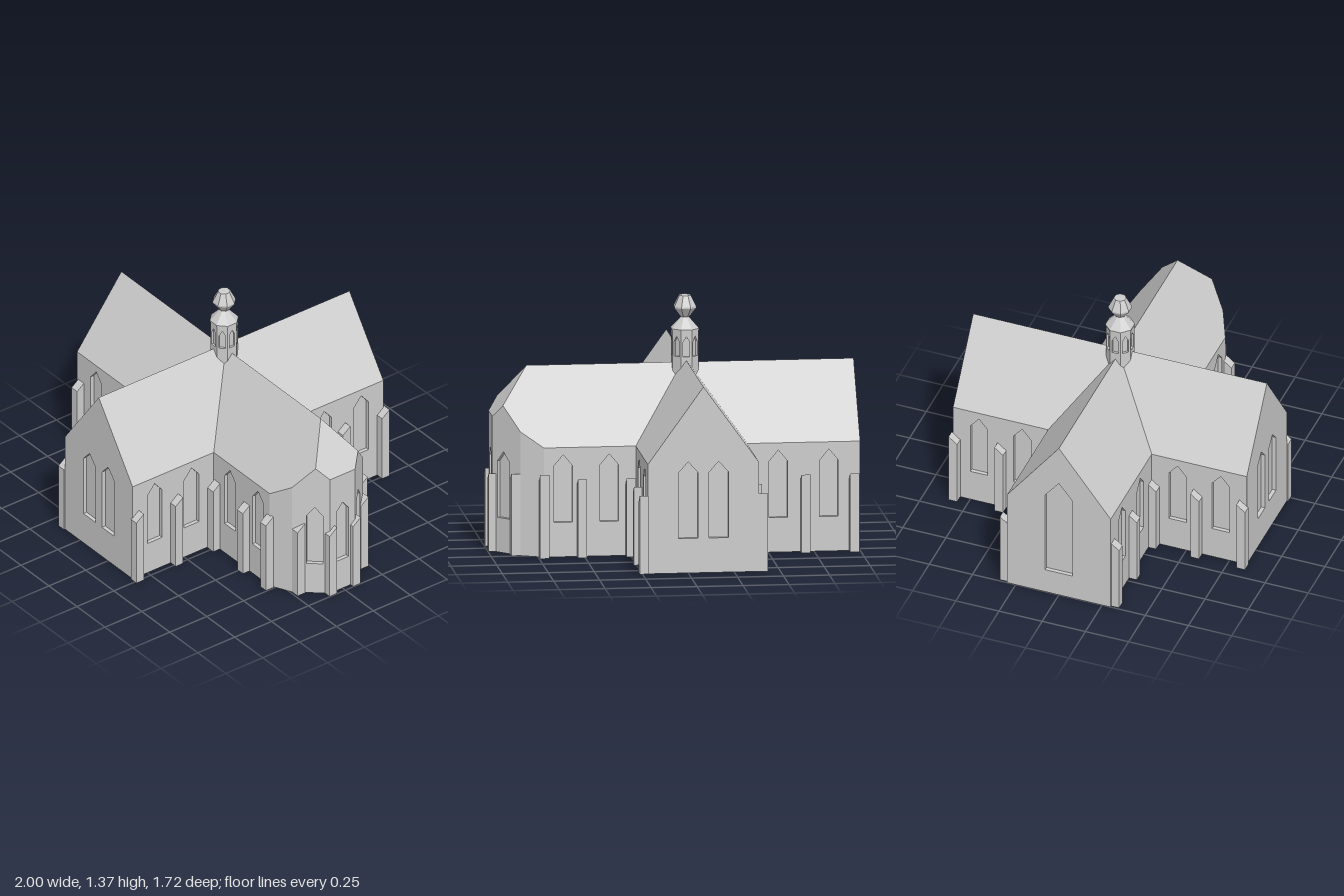
import * as THREE from 'three';

const stone = new THREE.MeshStandardMaterial({ color: 0xcccccc });
stone.name = 'paleStone';

const EAVE = 0.6, RIDGE = 1.0, HALF = 0.3, SLOPE = (RIDGE - EAVE) / HALF;
const WEST = -1, TL = -0.385, TR = 0.22, TMID = (TL + TR) / 2, TZ = 0.85, TRIDGE = 1.02;

function add(parent, name, geometry) {
  const mesh = new THREE.Mesh(geometry, stone);
  mesh.name = name;
  parent.add(mesh);
  return mesh;
}

// Pointed window outline centred on u
function lancet(Type, [u, w, sill, shoulder, peak]) {
  return new Type([
    [u - w / 2, sill], [u + w / 2, sill], [u + w / 2, shoulder], [u, peak], [u - w / 2, shoulder],
  ].map(p => new THREE.Vector2(...p)));
}

// Upright wall from a to b (x, z), left to right seen from outside, with recessed windows
function wall(parent, name, a, b, tops, windows = [], base = 0, depth = 0.022) {
  const dx = b[0] - a[0], dz = b[1] - a[1], len = Math.hypot(dx, dz);
  const group = new THREE.Group();
  group.name = name;
  group.position.set(a[0], 0, a[1]);
  group.rotation.y = Math.atan2(-dz, dx);
  const outline = [[0, base], [len, base], ...[...tops].reverse().map(([t, y]) => [t * len, y])];
  const shape = new THREE.Shape(outline.map(p => new THREE.Vector2(...p)));
  for (const w of windows) {
    const win = [w[0] * len, ...w.slice(1)];
    shape.holes.push(lancet(THREE.Path, win));
    add(group, 'windowPane', new THREE.ShapeGeometry(lancet(THREE.Shape, win))).position.z = -depth;
  }
  const geo = new THREE.ExtrudeGeometry(shape, { depth, bevelEnabled: false });
  add(group, 'masonry', geo.translate(0, 0, -depth));
  parent.add(group);
}

// The same wall on the front and, mirrored, on the back
function wallPair(parent, name, a, b, tops, windows = []) {
  wall(parent, name + 'Front', a, b, tops, windows);
  wall(parent, name + 'Back', [b[0], -b[1]], [a[0], -a[1]],
    tops.map(([t, y]) => [1 - t, y]).reverse(),
    windows.map(([t, ...rest]) => [1 - t, ...rest]));
}

// Flat convex face as a fan, corners anticlockwise from outside
function face(parent, name, pts) {
  const pos = [];
  for (let i = 1; i < pts.length - 1; i++) pos.push(...pts[0], ...pts[i], ...pts[i + 1]);
  const geo = new THREE.BufferGeometry();
  geo.setAttribute('position', new THREE.Float32BufferAttribute(pos, 3));
  geo.computeVertexNormals();
  add(parent, name, geo);
}

// Buttress with a sloping head, lower toward the front
function buttress(parent, x, z, low = 0.39) {
  const w = 0.05, d = 0.05;
  const shape = new THREE.Shape([[-d / 2, 0], [d / 2, 0], [d / 2, low + 0.04], [-d / 2, low]]
    .map(p => new THREE.Vector2(...p)));
  const geo = new THREE.ExtrudeGeometry(shape, { depth: w, bevelEnabled: false });
  geo.translate(0, 0, -w / 2).rotateY(Math.PI / 2);
  add(parent, 'buttress', geo).position.set(x, 0, z);
}

export function createModel() {
  const church = new THREE.Group();
  church.name = 'church';
  const flat = [[0, EAVE], [1, EAVE]];
  const lancetAt = t => [t, 0.1, 0.19, 0.5, 0.56];

  // Apse corners and the point where the hip meets the slanted wall
  const A = [0.72, HALF], B = [0.84, 0.24], C = [0.975, 0.085];
  const hipX = 0.78, m = (B[1] - C[1]) / (C[0] - B[0]);
  const px = (B[1] + m * B[0] + hipX) / (1 + m), P = [px, px - hipX];
  const sideY = z => RIDGE - SLOPE * Math.abs(z), endY = x => RIDGE - SLOPE * (x - hipX);

  // Walls
  const walls = new THREE.Group();
  walls.name = 'walls';
  church.add(walls);
  const naveT = x => (x - WEST) / (TL - WEST), choirT = x => (x - TR) / (A[0] - TR);
  wallPair(walls, 'naveWall', [WEST, HALF], [TL, HALF], flat,
    [lancetAt(naveT(-0.83)), lancetAt(naveT(-0.555))]);
  wallPair(walls, 'choirWall', [TR, HALF], A, flat,
    [lancetAt(choirT(0.365)), lancetAt(choirT(0.615))]);
  const sideT = z => (z - HALF) / (TZ - HALF);
  wallPair(walls, 'transeptWestWall', [TL, HALF], [TL, TZ], flat,
    [lancetAt(sideT(0.45)), lancetAt(sideT(0.7))]);
  wallPair(walls, 'transeptEastWall', [TR, TZ], [TR, HALF], flat,
    [lancetAt(1 - sideT(0.45)), lancetAt(1 - sideT(0.7))]);
  wallPair(walls, 'transeptGable', [TL, TZ], [TR, TZ], [[0, EAVE], [0.5, TRIDGE], [1, EAVE]],
    [0.363, 0.637].map(t => [t, 0.107, 0.19, 0.55, 0.61]));
  wall(walls, 'westGable', [WEST, -HALF], [WEST, HALF], [[0, EAVE], [0.5, RIDGE], [1, EAVE]],
    [[0.5, 0.16, 0.15, 0.66, 0.76]]);
  wallPair(walls, 'apseSideWall', A, B, [[0, EAVE], [1, sideY(B[1])]]);
  wallPair(walls, 'apseSlantedWall', B, C,
    [[0, sideY(B[1])], [(P[0] - B[0]) / (C[0] - B[0]), sideY(P[1])], [1, endY(C[0])]],
    [[0.6, 0.09, 0.19, 0.5, 0.555]]);
  wall(walls, 'apseEndWall', C, [C[0], -C[1]], [[0, endY(C[0])], [1, endY(C[0])]],
    [[0.5, 0.08, 0.19, 0.51, 0.56]]);

  // Roofs
  const roof = new THREE.Group();
  roof.name = 'roof';
  church.add(roof);
  const plan = [[WEST, HALF], A, B, P, [hipX, 0], [WEST, 0]];
  for (const s of [1, -1]) {
    const side = plan.map(([x, z]) => [x, sideY(z), s * z]);
    face(roof, 'naveRoof', s > 0 ? side : side.reverse());
    const ex = s > 0 ? TR : TL;
    const slope = [[ex, EAVE, TZ], [ex, EAVE, -TZ], [TMID, TRIDGE, -TZ], [TMID, TRIDGE, TZ]];
    face(roof, 'transeptRoof', s > 0 ? slope : slope.reverse());
  }
  face(roof, 'apseRoof', [[hipX, RIDGE, 0], [P[0], endY(P[0]), P[1]], [C[0], endY(C[0]), C[1]],
    [C[0], endY(C[0]), -C[1]], [P[0], endY(P[0]), -P[1]]]);

  // Underside
  const half = [[WEST, HALF], [TL, HALF], [TL, TZ], [TR, TZ], [TR, HALF], A, B, C];
  const footprint = [...half, ...half.map(([x, z]) => [x, -z]).reverse()];
  const floor = new THREE.Shape(footprint.map(p => new THREE.Vector2(...p)));
  add(church, 'floor', new THREE.ShapeGeometry(floor).rotateX(Math.PI / 2));

  // Buttresses
  const buttresses = new THREE.Group();
  buttresses.name = 'buttresses';
  church.add(buttresses);
  for (const s of [1, -1]) {
    for (const x of [-0.965, -0.7, -0.41, 0.25, 0.515]) buttress(buttresses, x, s * 0.32);
    buttress(buttresses, 0.72, s * 0.32, 0.42);
    buttress(buttresses, 0.865, s * 0.215, 0.41);
    buttress(buttresses, 0.973, s * 0.08);
    for (const z of [0.567, 0.833]) {
      buttress(buttresses, TL - 0.022, s * z);
      buttress(buttresses, TR + 0.02, s * z);
    }
  }

  // Eight-sided lantern with a cap and finial over the crossing
  const lantern = new THREE.Group();
  lantern.name = 'lantern';
  lantern.position.x = TMID;
  church.add(lantern);
  const R = 0.077, corner = i => {
    const t = (i - 0.5) * Math.PI / 4;
    return [R * Math.sin(t), R * Math.cos(t)];
  };
  for (let i = 0; i < 8; i++) {
    wall(lantern, 'lanternWall', corner(i), corner(i + 1), [[0, 1.185], [1, 1.185]],
      [[0.5, 0.036, 1.04, 1.12, 1.15]], 0.85, 0.012);
  }
  const profile = [[0, 1.18], [0.08, 1.18], [0.08, 1.188], [0.022, 1.25], [0.03, 1.254],
    [0.064, 1.3], [0.064, 1.308], [0.034, 1.368], [0, 1.37]];
  const cap = new THREE.LatheGeometry(profile.map(p => new THREE.Vector2(...p)), 8, Math.PI / 8)
    .toNonIndexed();
  cap.computeVertexNormals();
  add(lantern, 'lanternCapAndFinial', cap);

  return church;
}
